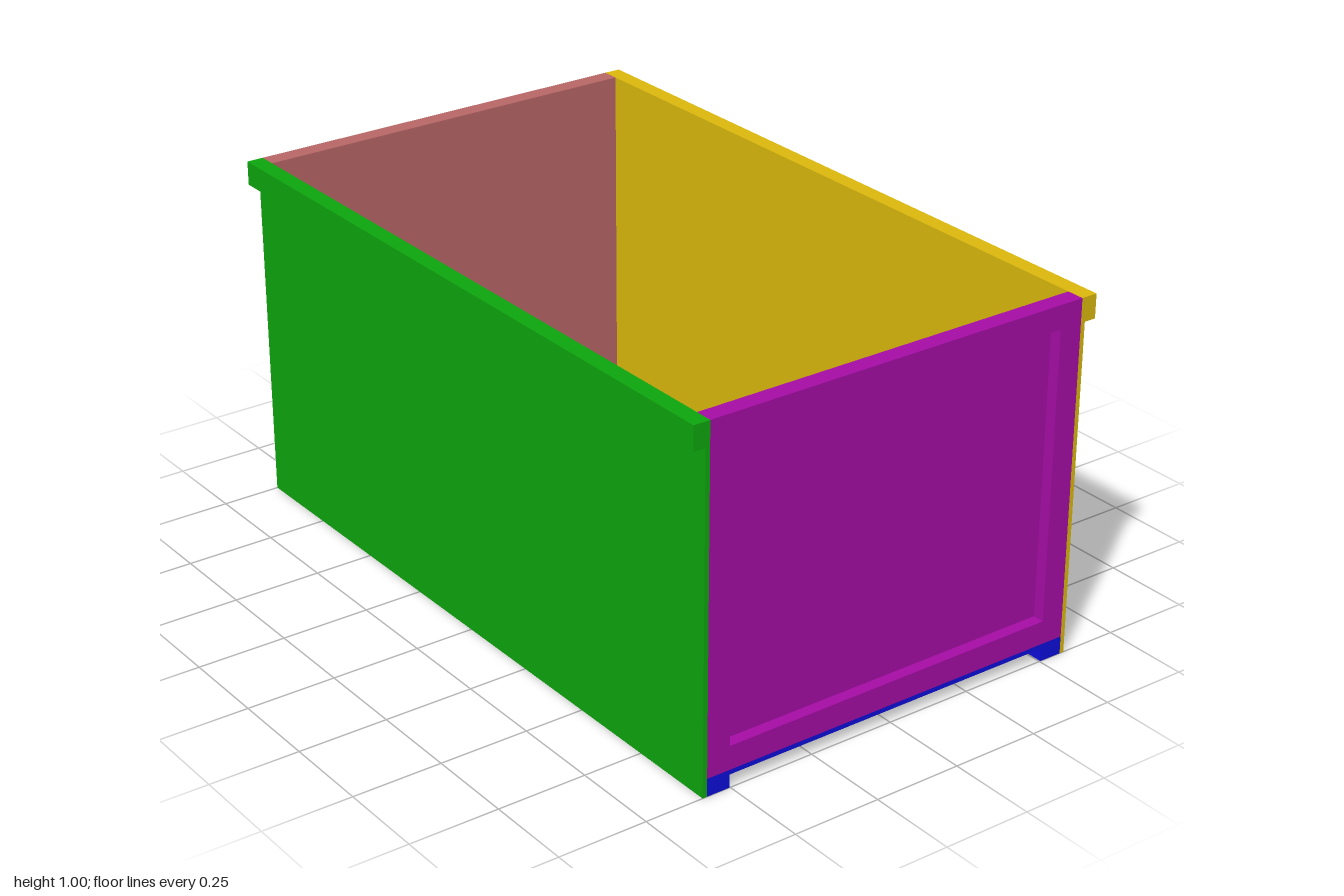
import * as THREE from 'three';

const LENGTH = 2, INNER = 0.57, FRAME = 0.067, FLOOR_TOP = 0.05, FLOOR_BOTTOM = 0.037;
const END_THICKNESS = 0.05, RECESS = 0.033;

const paint = (color) => new THREE.MeshStandardMaterial({ color });

// Extrudes an outline of [x, y] points along z, centred on zMid
function extrude(name, points, depth, zMid, material, hole) {
  const toVectors = (list) => list.map(([x, y]) => new THREE.Vector2(x, y));
  const shape = new THREE.Shape(toVectors(points));
  if (hole) shape.holes.push(new THREE.Path(toVectors(hole)));
  const geometry = new THREE.ExtrudeGeometry(shape, { depth, bevelEnabled: false });
  geometry.translate(0, 0, zMid - depth / 2);
  const mesh = new THREE.Mesh(geometry, material);
  mesh.name = name;
  return mesh;
}

const rectangle = (x, y0, y1) => [[-x, y0], [x, y0], [x, y1], [-x, y1]];

// Thin wall with a thick outward lip along its top; side is +1 or -1
function sideWall(name, side, color) {
  const profile = [
    [INNER, 0], [0.583, 0], [0.583, 0.933], [0.617, 0.933], [0.617, 1], [INNER, 1],
  ].map(([x, y]) => [x * side, y]);
  return extrude(name, profile, LENGTH, 0, paint(color));
}

// End panel: a raised frame on the outside of a thin sheet
function endPanel(name, color) {
  const group = new THREE.Group();
  group.name = name;
  const material = paint(color);
  const outer = rectangle(INNER, FLOOR_TOP, 1);
  const opening = rectangle(INNER - FRAME, FLOOR_TOP + FRAME, 1 - FRAME);
  const sheet = END_THICKNESS - RECESS;
  group.add(
    extrude(name + 'Frame', outer, RECESS, 1 - RECESS / 2, material, opening),
    extrude(name + 'Sheet', outer, sheet, 1 - RECESS - sheet / 2, material),
  );
  return group;
}

export function createModel() {
  const model = new THREE.Group();
  model.name = 'openBox';

  // Floor with a runner along each long edge
  const runner = INNER - FRAME;
  model.add(extrude('floor', [
    [-INNER, 0], [-runner, 0], [-runner, FLOOR_BOTTOM], [runner, FLOOR_BOTTOM],
    [runner, 0], [INNER, 0], [INNER, FLOOR_TOP], [-INNER, FLOOR_TOP],
  ], LENGTH, 0, paint(0x0d0ddb)));

  // Long walls
  model.add(sideWall('leftWall', 1, 0xdbb80d), sideWall('rightWall', -1, 0x0da60d));

  // Ends, the back one turned to face outwards
  const back = endPanel('backPanel', 0xb86666);
  back.rotation.y = Math.PI;
  model.add(endPanel('frontPanel', 0xa60da6), back);

  return model;
}
